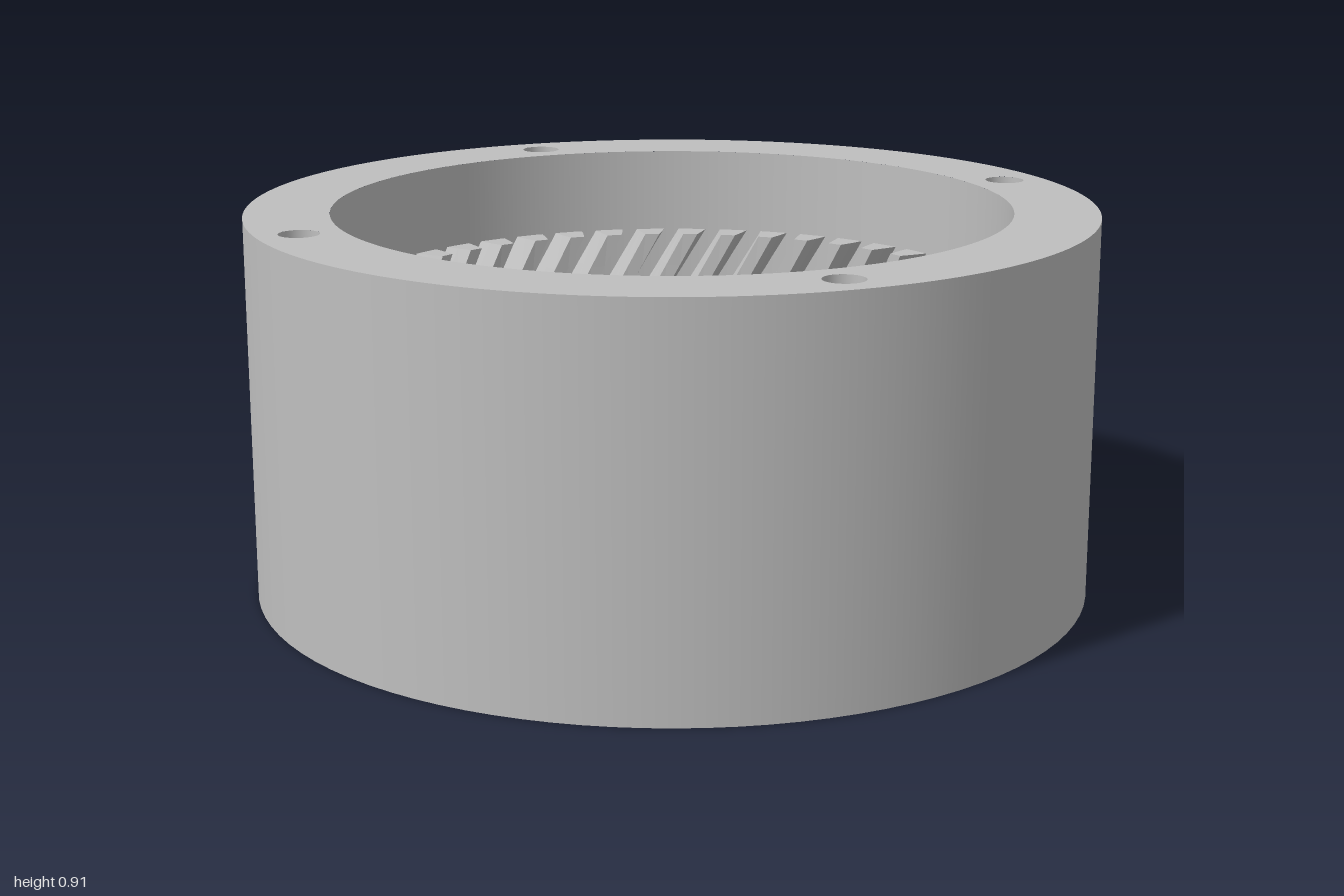
import * as THREE from 'three';

const H = 0.91, R = 1, BORE = 0.8, HUB = 0.38;        // housing
const FLOOR = 0.17, SEAT = 0.08, POCKET_TOP = 0.19;   // floor levels
const BOLT = 0.735, BOLT_R = 0.06, HEAD_R = 0.11;     // floor bolt holes
const PIN = 0.9, PIN_R = 0.047, PIN_DEPTH = 0.2;      // rim pin holes
const TEETH = 45, TIP = 0.725, GEAR_Y = 0.37, GEAR_H = 0.33;
const TAU = Math.PI * 2;

export function createModel() {
  const group = new THREE.Group();
  const steel = new THREE.MeshStandardMaterial({ color: 0xbfbfbf });
  steel.name = 'grey metal';

  const add = (name, geometry, x = 0, z = 0) => {
    const mesh = new THREE.Mesh(geometry, steel);
    mesh.name = name;
    mesh.position.set(x, 0, z);
    group.add(mesh);
    return mesh;
  };
  // Round wall: rising from a to b faces outward, falling faces inward
  const wall = (r, a, b, seg = 96, start = 0, length = TAU) => new THREE.LatheGeometry(
    [new THREE.Vector2(r, a), new THREE.Vector2(r, b)], seg, start, length);
  const circle = (Type, r, x = 0, y = 0) => new Type().absarc(x, y, r, 0, TAU, false);
  // Flat face at height y, facing up or down
  const face = (shape, y, up = true, seg = 96) => new THREE.ShapeGeometry(shape, seg)
    .rotateX(up ? -Math.PI / 2 : Math.PI / 2).translate(0, y, 0);
  const disc = (r, hole, holeR, dist, offset) => {
    const shape = circle(THREE.Shape, r);
    shape.holes.push(circle(THREE.Path, hole));
    for (let k = 0; k < 4; k++) {
      const a = offset + k * Math.PI / 2;
      shape.holes.push(circle(THREE.Path, holeR, dist * Math.cos(a), dist * Math.sin(a)));
    }
    return shape;
  };

  // Housing shell
  add('outerWall', wall(R, 0, H));
  add('boreWall', wall(BORE, H, POCKET_TOP));
  add('hubHoleWall', wall(HUB, FLOOR, 0));
  add('topRim', face(disc(R, BORE, PIN_R, PIN, 0), H));
  add('underside', face(disc(R, HUB, BOLT_R, BOLT, Math.PI / 4), 0, false));
  add('innerFloor', face(disc(0.85, HUB, HEAD_R, BOLT, Math.PI / 4), FLOOR));

  // Where the bolt head pockets cut into the bore wall
  const cut = Math.acos((BORE ** 2 + BOLT ** 2 - HEAD_R ** 2) / (2 * BORE * BOLT));
  const open = Math.atan2(BORE * Math.sin(cut), BORE * Math.cos(cut) - BOLT);
  const crescent = new THREE.Shape();
  crescent.absarc(BOLT, 0, HEAD_R, -open, open, false);
  crescent.absarc(0, 0, BORE, cut, -cut, true);
  const seat = circle(THREE.Shape, HEAD_R);
  seat.holes.push(circle(THREE.Path, BOLT_R));

  for (let k = 0; k < 4; k++) {
    const a = Math.PI / 4 + k * Math.PI / 2;
    const x = BOLT * Math.sin(a), z = BOLT * Math.cos(a);
    // Counterbored floor bolt holes
    add('boltHole', wall(BOLT_R, SEAT, 0, 32), x, z);
    add('boltSeat', face(seat, SEAT, true, 32), x, z);
    add('boltPocket', wall(HEAD_R, FLOOR, SEAT, 32), x, z);
    add('boltPocketBack', wall(HEAD_R, POCKET_TOP, FLOOR, 16, a - open, 2 * open), x, z);
    add('boltPocketCeiling', face(crescent, POCKET_TOP, false, 16).rotateY(a));
    add('boreFoot', wall(BORE, POCKET_TOP, FLOOR, 24, a + cut, Math.PI / 2 - 2 * cut));
    // Blind pin holes in the rim
    const p = k * Math.PI / 2, px = PIN * Math.sin(p), pz = PIN * Math.cos(p);
    add('pinHole', wall(PIN_R, H, H - PIN_DEPTH, 32), px, pz);
    add('pinHoleEnd', face(circle(THREE.Shape, PIN_R), H - PIN_DEPTH, true, 32), px, pz);
  }

  // Herringbone internal teeth: straight prisms twisted to and fro with height
  const teeth = [];
  for (let i = 0; i < TEETH; i++) {
    const a = (i * TAU) / TEETH - 0.014;
    const corner = (r, da) => new THREE.Vector2(r * Math.cos(a + da), r * Math.sin(a + da));
    teeth.push(new THREE.Shape([
      corner(TIP, -0.0255), corner(0.765, -0.038), corner(BORE + 0.006, -0.047),
      corner(BORE + 0.006, 0.047), corner(0.765, 0.038), corner(TIP, 0.0255)]));
  }
  const gear = new THREE.ExtrudeGeometry(teeth, { depth: GEAR_H, steps: 4, bevelEnabled: false });
  gear.rotateX(-Math.PI / 2);
  const pos = gear.attributes.position, v = new THREE.Vector3(), up = new THREE.Vector3(0, 1, 0);
  for (let i = 0; i < pos.count; i++) {
    v.fromBufferAttribute(pos, i);
    const twist = 0.125 * (1 - Math.abs((2 * v.y) / GEAR_H - 1));
    v.applyAxisAngle(up, twist);
    pos.setXYZ(i, v.x, v.y + GEAR_Y, v.z);
  }
  gear.computeVertexNormals();
  add('herringboneTeeth', gear);

  return group;
}
